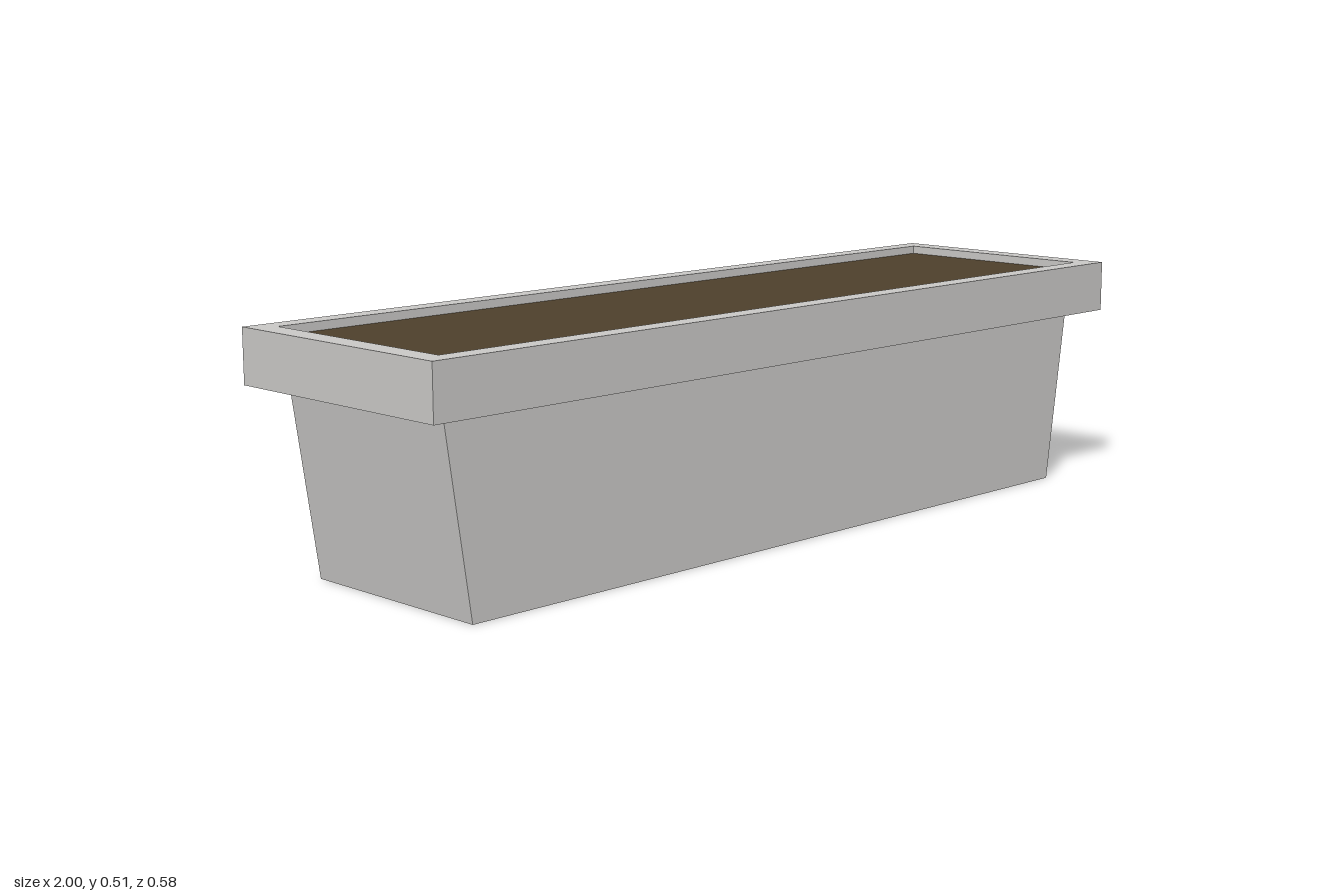
import * as THREE from 'three';

export function createModel() {
  const group = new THREE.Group();
  const concrete = new THREE.MeshStandardMaterial({ color: 0xc8c7c5 });
  concrete.name = 'concrete';
  const soilBrown = new THREE.MeshStandardMaterial({ color: 0x4d3f2b });
  soilBrown.name = 'soil brown';

  const add = (name, geometry, material) => {
    const mesh = new THREE.Mesh(geometry, material);
    mesh.name = name;
    group.add(mesh);
    return mesh;
  };

  const rimBottom = 0.395, rimTop = 0.508;

  // Trough body: trapezoid profile, ends splayed outward, straight long sides
  const profile = new THREE.Shape([
    new THREE.Vector2(-0.877, 0),
    new THREE.Vector2(0.877, 0),
    new THREE.Vector2(0.935, rimBottom),
    new THREE.Vector2(-0.935, rimBottom),
  ]);
  const body = new THREE.ExtrudeGeometry(profile, { depth: 0.466, bevelEnabled: false });
  body.translate(0, 0, -0.233);
  add('troughBody', body, concrete);

  // Overhanging rim: rectangular frame around the planting opening
  const rectangle = (Type, x, z) => new Type([
    new THREE.Vector2(-x, -z), new THREE.Vector2(x, -z),
    new THREE.Vector2(x, z), new THREE.Vector2(-x, z),
  ]);
  const frame = rectangle(THREE.Shape, 1, 0.288);
  frame.holes.push(rectangle(THREE.Path, 0.95, 0.243));
  const rim = new THREE.ExtrudeGeometry(frame, { depth: rimTop - rimBottom, bevelEnabled: false });
  rim.rotateX(-Math.PI / 2).translate(0, rimBottom, 0);
  add('rim', rim, concrete);

  // Soil fills the opening to just below the rim; its base closes the overhang
  const soilTop = 0.49, soilBase = rimBottom + 0.01;
  const soil = add('soil', new THREE.BoxGeometry(1.9, soilTop - soilBase, 0.486), soilBrown);
  soil.position.y = (soilTop + soilBase) / 2;

  // Ledge under the soil, flush with the rim's underside
  const ledge = add('rimFloor', new THREE.BoxGeometry(1.9, 0.01, 0.486), concrete);
  ledge.position.y = rimBottom + 0.005;

  return group;
}
